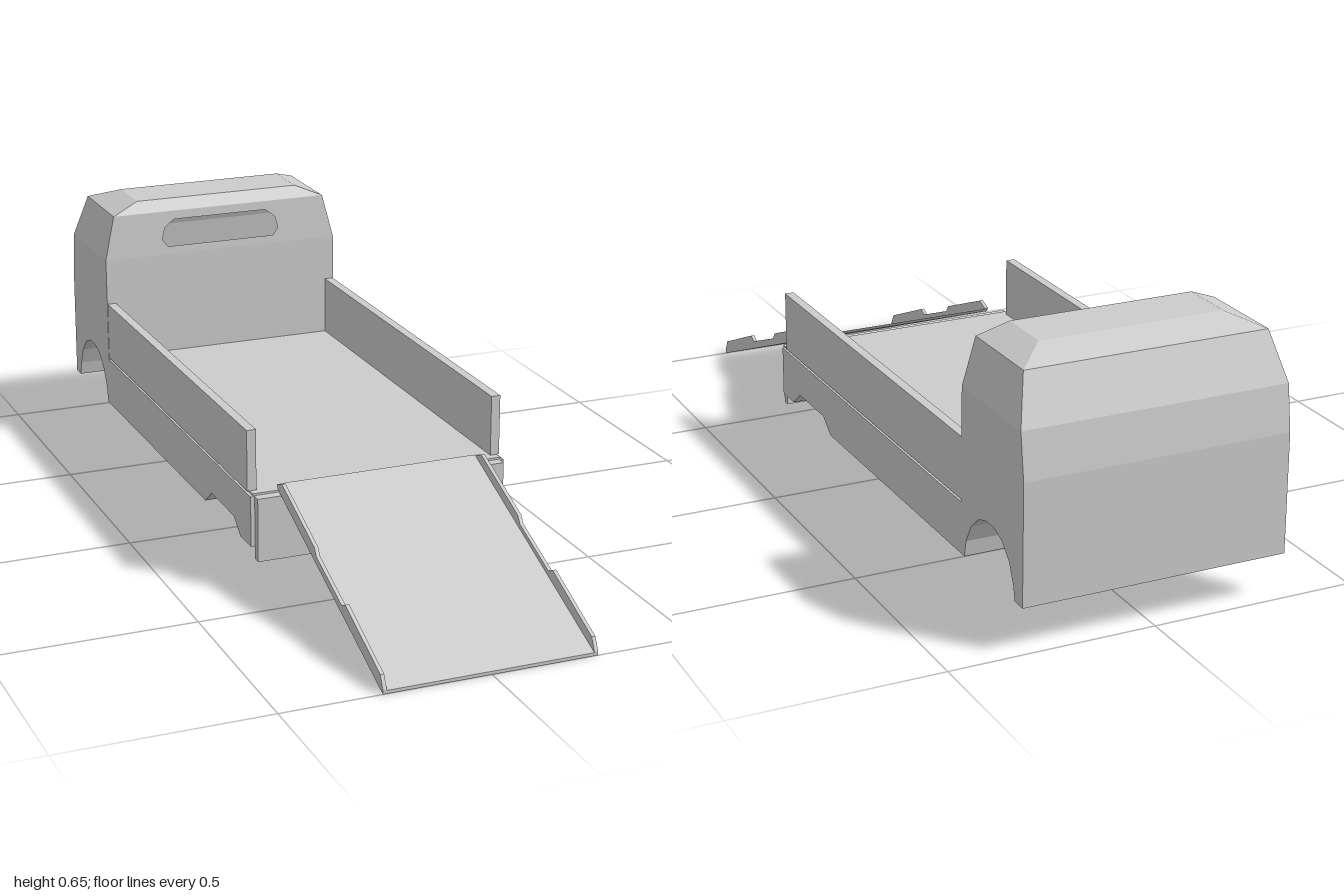
import * as THREE from 'three';

const material = new THREE.MeshStandardMaterial({ color: 0xcccccc, flatShading: true });
const shellMaterial = new THREE.MeshStandardMaterial({ color: 0xcccccc, flatShading: true, side: THREE.DoubleSide });

function toShape(points) {
  return new THREE.Shape(points.map(([a, b]) => new THREE.Vector2(a, b)));
}

// Side profile of [z, y] points, extruded across x around a centre
function sideExtrude(name, points, width, x = 0) {
  const geometry = new THREE.ExtrudeGeometry(toShape(points), { depth: width, bevelEnabled: false });
  geometry.rotateY(-Math.PI / 2).translate(x + width / 2, 0, 0);
  const mesh = new THREE.Mesh(geometry, material);
  mesh.name = name;
  return mesh;
}

// Box given by its x, y and z limits
function box(name, x0, x1, y0, y1, z0, z1) {
  const mesh = new THREE.Mesh(new THREE.BoxGeometry(x1 - x0, y1 - y0, z1 - z0), material);
  mesh.position.set((x0 + x1) / 2, (y0 + y1) / 2, (z0 + z1) / 2);
  mesh.name = name;
  return mesh;
}

// Hollow cab: rectangular rings of [y, half width, front z, back z]
function createCab() {
  const cab = new THREE.Group();
  cab.name = 'cab';
  const rings = [
    [0.26, 0.325, -0.695, -1],
    [0.40, 0.325, -0.696, -1],
    [0.51, 0.325, -0.698, -0.985],
    [0.625, 0.297, -0.708, -0.938],
    [0.655, 0.225, -0.728, -0.865],
  ];
  const windowBand = 2;
  const corners = rings.map(([y, w, f, b]) => [[w, y, f], [w, y, b], [-w, y, b], [-w, y, f]]);
  const positions = [];
  const quad = (a, b, c, d) => positions.push(...a, ...b, ...c, ...a, ...c, ...d);
  for (let i = 0; i < rings.length - 1; i++) {
    for (let j = 0; j < 4; j++) {
      if (i === windowBand && j === 3) continue;
      const k = (j + 1) % 4;
      quad(corners[i][j], corners[i][k], corners[i + 1][k], corners[i + 1][j]);
    }
  }
  quad(...corners[rings.length - 1]);
  const geometry = new THREE.BufferGeometry();
  geometry.setAttribute('position', new THREE.Float32BufferAttribute(positions, 3));
  geometry.computeVertexNormals();
  const shell = new THREE.Mesh(geometry, shellMaterial);
  shell.name = 'cabShell';

  // Leaning panel with the window opening
  const [y0, w0, z0] = rings[windowBand];
  const [y1, w1, z1] = rings[windowBand + 1];
  const panelShape = toShape([[-w0, y0], [w0, y0], [w1, y1], [-w1, y1]]);
  const half = [[0.15, 0.53], [0.165, 0.55], [0.157, 0.581], [0.13, 0.602]];
  const opening = [...half, ...half.map(([x, y]) => [-x, y]).reverse()];
  panelShape.holes.push(new THREE.Path(opening.map(([x, y]) => new THREE.Vector2(x, y))));
  const panelGeometry = new THREE.ShapeGeometry(panelShape);
  const p = panelGeometry.attributes.position;
  for (let i = 0; i < p.count; i++) {
    p.setZ(i, THREE.MathUtils.mapLinear(p.getY(i), y0, y1, z0, z1));
  }
  panelGeometry.computeVertexNormals();
  const panel = new THREE.Mesh(panelGeometry, shellMaterial);
  panel.name = 'windowPanel';
  cab.add(shell, panel);
  return cab;
}

// Sloping loading ramp with stepped side rails
function createRamp() {
  const ramp = new THREE.Group();
  ramp.name = 'ramp';
  ramp.add(sideExtrude('rampPlate', [[1, 0], [1, 0.008], [0.375, 0.256], [0.385, 0.245]], 0.5));
  const rail = [
    [1, 0], [0.385, 0.245], [0.378, 0.256], [0.41, 0.268], [0.61, 0.188], [0.622, 0.17],
    [0.77, 0.112], [0.79, 0.122], [0.985, 0.04], [1, 0.01],
  ];
  for (const side of [-1, 1]) {
    ramp.add(sideExtrude(side > 0 ? 'leftRampRail' : 'rightRampRail', rail, 0.009, side * 0.2545));
  }
  return ramp;
}

export function createModel() {
  const model = new THREE.Group();
  model.name = 'flatbedBody';

  // Lower body with wheel arch below the cab and a shallow recess near the tail
  model.add(sideExtrude('lowerBody', [
    [0.38, 0.235], [0.38, 0.11], [0.31, 0.11], [0.265, 0.145], [0.11, 0.145], [0.065, 0.11],
    [-0.712, 0.11], [-0.72, 0.15], [-0.745, 0.195], [-0.783, 0.228], [-0.82, 0.24], [-0.86, 0.24],
    [-0.9, 0.225], [-0.935, 0.19], [-0.955, 0.145], [-0.963, 0.11],
    [-1, 0.11], [-1, 0.26], [-0.695, 0.26], [-0.695, 0.235],
  ], 0.65));

  // Bed floor, side walls and tail bumper
  model.add(box('bedFloor', -0.318, 0.318, 0.234, 0.24, -0.7, 0.375));
  for (const side of [-1, 1]) {
    const wall = box(side > 0 ? 'leftWall' : 'rightWall', 0.301, 0.324, 0.24, 0.39, -0.7, 0.355);
    wall.position.x *= side;
    model.add(wall);
  }
  model.add(box('tailBumper', -0.315, 0.315, 0.078, 0.235, 0.38, 0.4));

  model.add(createCab(), createRamp());
  return model;
}
